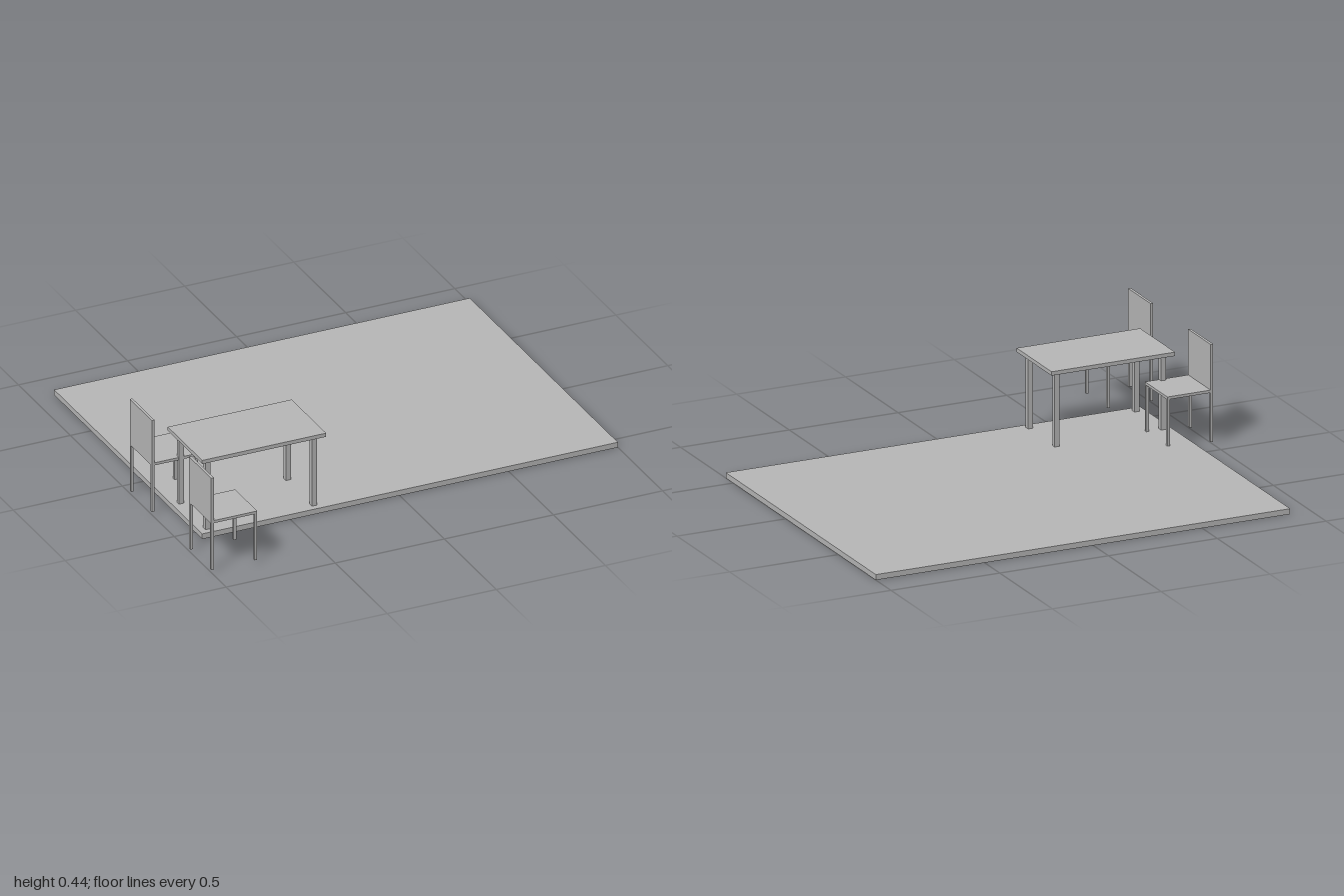
import * as THREE from 'three';

const grey = new THREE.MeshStandardMaterial({ color: 0xb8b8b8 });
grey.name = 'plain grey';

// Box given by its minimum and maximum corners
function box(name, [x0, y0, z0], [x1, y1, z1]) {
  const mesh = new THREE.Mesh(new THREE.BoxGeometry(x1 - x0, y1 - y0, z1 - z0), grey);
  mesh.position.set((x0 + x1) / 2, (y0 + y1) / 2, (z0 + z1) / 2);
  mesh.name = name;
  return mesh;
}

// Four square legs set in from the corners of a rectangle
function addLegs(group, name, [x0, x1], [z0, z1], [y0, y1], thick, inset) {
  for (const x of [x0 + inset, x1 - inset - thick]) {
    for (const z of [z0 + inset, z1 - inset - thick]) {
      group.add(box(name, [x, y0, z], [x + thick, y1, z + thick]));
    }
  }
}

function createTable() {
  const table = new THREE.Group();
  table.name = 'table';
  const x = [-0.905, -0.337], z = [0.238, 0.57];
  table.add(box('tableTop', [x[0], 0.35, z[0]], [x[1], 0.367, z[1]]));
  addLegs(table, 'tableLeg', x, z, [0.024, 0.35], 0.023, 0.028);
  return table;
}

// Chair with its back along the -x edge
function createChair(z0) {
  const chair = new THREE.Group();
  chair.name = 'chair';
  const x = [-1, -0.789], z = [z0, z0 + 0.213];
  chair.add(box('seat', [x[0], 0.228, z[0]], [x[1], 0.24, z[1]]));
  chair.add(box('backrest', [x[0], 0.24, z[0]], [x[0] + 0.012, 0.44, z[1]]));
  addLegs(chair, 'chairLeg', x, z, [0.012, 0.228], 0.012, 0);
  return chair;
}

export function createModel() {
  const model = new THREE.Group();
  model.name = 'tableAndChairsOnPlatform';
  model.add(box('platform', [-0.905, 0, -0.856], [1, 0.024, 0.57]));
  model.add(createTable());
  for (const z of [0.072, 0.643]) model.add(createChair(z));
  return model;
}
